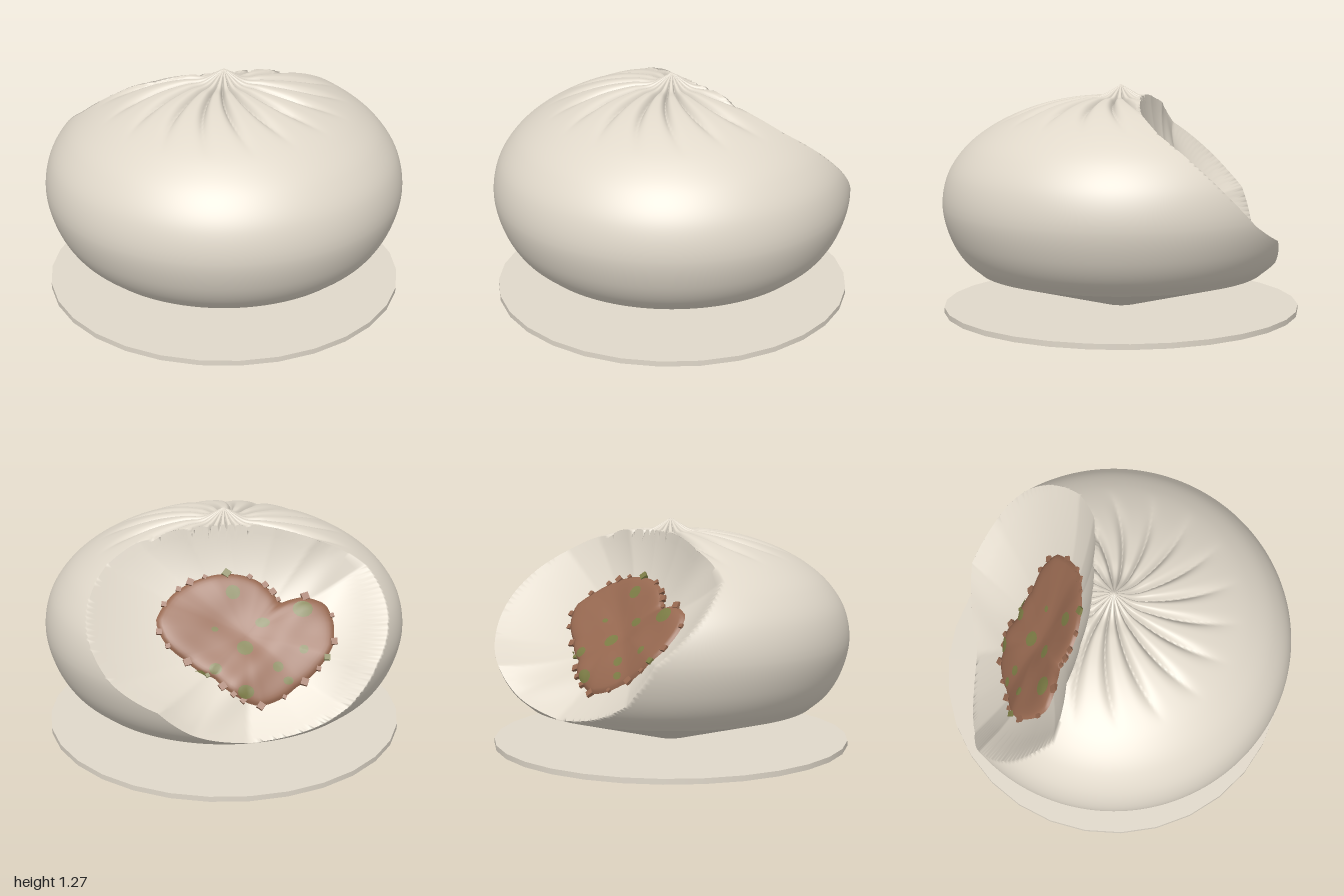
import * as THREE from 'three';
import { mergeVertices } from 'three/addons/utils/BufferGeometryUtils.js';

const V = (x, y, z) => new THREE.Vector3(x, y, z);
const turn = (a) => THREE.MathUtils.euclideanModulo(a, Math.PI * 2);

// Frame of the bitten face: n points out, e1 runs along the filling, e2 down the slope
const n = V(0.436, 0.66, -0.614).normalize();
const e1 = V(0.77, 0.05, 0.63).addScaledVector(n, 0.018).normalize();
const e2 = n.clone().cross(e1);
const mid = V(0.175, 0.67, -0.36);
const core = V(0, 0.4, 0.1);
const local = (p) => {
  const d = p.clone().sub(mid);
  return [d.dot(e1), d.dot(e2), d.dot(n)];
};

// Closed outline of [u, v, height] points, looked up by direction from the middle
function outline(points) {
  const t = points.map(([u, v, h = 0]) => ({ a: turn(Math.atan2(v, u)), r: Math.hypot(u, v), h }))
    .sort((p, q) => p.a - q.a);
  return (u, v) => {
    const a = turn(Math.atan2(v, u));
    const k = Math.max(0, t.findIndex((p) => p.a > a));
    const p = t[(k + t.length - 1) % t.length], q = t[k];
    const f = turn(a - p.a) / turn(q.a - p.a);
    return { r: THREE.MathUtils.lerp(p.r, q.r, f), h: THREE.MathUtils.lerp(p.h, q.h, f) };
  };
}

// Rim of the bite on the bun
const rim = outline([
  [0.67, 1.05, 0.2], [0.47, 1.13, 0.17], [0.25, 1.185, 0.03], [0.06, 1.2, -0.1], [-0.12, 1.19, -0.28],
  [-0.25, 1.13, -0.45], [-0.43, 0.99, -0.65], [-0.4, 0.88, -0.8], [-0.17, 0.6, -0.985], [0, 0.38, -0.93],
  [0.2, 0.28, -0.84], [0.45, 0.24, -0.66], [0.73, 0.33, -0.53], [0.88, 0.47, -0.43], [0.97, 0.58, -0.2],
  [0.97, 0.77, 0], [0.86, 0.93, 0.13],
].map((p) => local(V(...p))));

// Edge of the filling
const edge = outline([
  [-0.48, -0.08], [-0.44, -0.18], [-0.32, -0.22], [-0.19, -0.19], [-0.13, -0.27], [-0.03, -0.33], [0.1, -0.35],
  [0.22, -0.33], [0.41, -0.225], [0.505, -0.06], [0.46, 0.05], [0.34, 0.15], [0.18, 0.25], [0.05, 0.36],
  [-0.07, 0.4], [-0.18, 0.36], [-0.27, 0.29], [-0.4, 0.18], [-0.47, 0.07],
]);

// Height of the hollow over the face: a bowl up to the rim, with a low ridge between two mouthfuls
function hollow(u, v) {
  const { r, h } = rim(u, v);
  const s = Math.hypot(u, v) / r, floor = -0.05;
  const z = mid.z + u * e1.z + v * e2.z;
  const ridge = 0.12 * Math.exp(-(((z + 0.46) / 0.08) ** 2)) * s * Math.max(0, 1 - s);
  return floor + (h - floor) * s * s + ridge;
}
function above(p) {
  const [u, v, h] = local(p);
  return h - hollow(u, v);
}

// Pull a bitten-off point back towards the core until it meets the hollow
function bite(p) {
  if (above(p) <= 0) return p;
  let lo = 0, hi = 1;
  for (let i = 0; i < 22; i++) {
    const t = (lo + hi) / 2;
    if (above(core.clone().lerp(p, t)) > 0) hi = t;
    else lo = t;
  }
  return core.clone().lerp(p, lo);
}

// Slide points close to the rim onto it, so the rim is a clean line
function snapToRim(p, normal) {
  const f = above(p), e = 0.002;
  if (Math.abs(f) > 0.03) return p;
  const g = V(...[V(e, 0, 0), V(0, e, 0), V(0, 0, e)].map((d) => (above(d.add(p)) - f) / e)).projectOnPlane(normal);
  const slide = f / g.length();
  if (Math.abs(slide) < 0.013) p.addScaledVector(g.normalize(), -slide);
  return p;
}

// Gathered, slightly swirling pleats around the tip
function pleat(p) {
  const r = Math.hypot(p.x, p.z);
  if (p.y < 0.9 || r < 0.001) return p;
  const th = Math.atan2(p.x, p.z);
  const fade = THREE.MathUtils.smoothstep(r, 0.0, 0.16) * (1 - THREE.MathUtils.smoothstep(r, 0.3, 0.72));
  const wave = 1 - Math.abs(Math.sin(9 * (th - 0.5 * r)));
  p.y -= 0.045 * fade * wave * wave;
  return p;
}

// Drop the seams of a geometry and shade it smoothly
function smooth(g) {
  g.deleteAttribute('uv');
  g.deleteAttribute('normal');
  const m = mergeVertices(g, 1e-5);
  m.computeVertexNormals();
  return m;
}

function turned(points, segments) {
  const g = new THREE.LatheGeometry(points, segments);
  const { position, normal } = g.attributes;
  for (let i = 0; i < position.count; i++) {
    const p = pleat(V().fromBufferAttribute(position, i));
    const q = bite(snapToRim(p, V().fromBufferAttribute(normal, i)));
    position.setXYZ(i, q.x, q.y, q.z);
  }
  return smooth(g);
}

// Point on the hollow at (u, v), raised by lift
const facePoint = (u, v, lift) =>
  mid.clone().addScaledVector(e1, u).addScaledVector(e2, v).addScaledVector(n, hollow(u, v) + lift);

// Thickness of the filling, domed towards its edge
function fillingLift(u, v) {
  const s = Math.min(1, Math.hypot(u, v) / edge(u, v).r);
  return -0.015 + 0.07 * Math.sqrt(1 - s ** 4) + 0.006 * Math.sin(17 * u + 3 * v) * Math.sin(19 * v) * (1 - s);
}

// Round sheet built ring by ring; place(s, angle) returns a point
function sheet(rings, sides, place) {
  const pos = [], idx = [];
  for (let i = 0; i <= rings; i++)
    for (let j = 0; j < sides; j++) pos.push(...place(i / rings, (j / sides) * Math.PI * 2).toArray());
  for (let i = 0; i < rings; i++)
    for (let j = 0; j < sides; j++) {
      const a = i * sides + j, b = i * sides + ((j + 1) % sides);
      if (i > 0) idx.push(a, a + sides, b);
      idx.push(b, a + sides, b + sides);
    }
  const g = new THREE.BufferGeometry();
  g.setAttribute('position', new THREE.Float32BufferAttribute(pos, 3));
  g.setIndex(idx);
  return smooth(g);
}

export function createModel() {
  const group = new THREE.Group();
  const mat = (name, color) => Object.assign(new THREE.MeshStandardMaterial({ color }), { name });
  const dough = mat('dough', 0xe0d8ca), meat = mat('meat', 0x966850), herb = mat('herb', 0x7c7c45);
  dough.side = meat.side = herb.side = THREE.DoubleSide;
  const add = (name, geometry, material, parent = group) => {
    const m = new THREE.Mesh(geometry, material);
    m.name = name;
    parent.add(m);
    return m;
  };

  // Thin disc under the bun
  add('paperDisc', new THREE.CylinderGeometry(1, 1, 0.03, 30), dough).position.y = 0.015;

  // Bun dome with pleats, tip and bite
  const profile = [
    [0.8, 0.23], [0.89, 0.31], [0.96, 0.43], [1, 0.6], [0.97, 0.77], [0.88, 0.91], [0.75, 1.02],
    [0.58, 1.11], [0.4, 1.17], [0.22, 1.2], [0.12, 1.205], [0.05, 1.24], [0, 1.27],
  ].map(([x, y]) => V(x, y, 0));
  const dome = new THREE.CatmullRomCurve3(profile).getSpacedPoints(130)
    .map((p) => new THREE.Vector2(Math.max(0, Math.min(1, p.x)), p.y));
  add('bun', turned(dome, 300), dough);

  // Tapered underside
  const under = [new THREE.Vector2(0, 0.031)];
  for (let i = 0; i <= 24; i++)
    under.push(new THREE.Vector2(0.1 + (0.7 * i) / 24, 0.031 + (0.199 * i) / 24));
  add('bunUnderside', turned(under, 300), dough);

  // Filling lying in the hollow
  const onEdge = (s, a) => {
    const r = s * edge(Math.cos(a), Math.sin(a)).r;
    return [r * Math.cos(a), r * Math.sin(a)];
  };
  add('filling', sheet(24, 90, (s, a) => {
    const [u, v] = onEdge(s, a);
    return facePoint(u, v, fillingLift(u, v));
  }), meat);

  // Herb flecks, each given as x, z and radius
  const flecks = new THREE.Group();
  flecks.name = 'herbFlecks';
  group.add(flecks);
  [
    [-0.12, -0.48, 0.055], [0.13, -0.55, 0.03], [0.08, -0.38, 0.04], [0.22, -0.39, 0.045],
    [0.4, -0.35, 0.035], [0.49, -0.31, 0.045], [0.13, -0.2, 0.04], [0.12, -0.62, 0.028],
    [0.33, -0.51, 0.045], [-0.02, -0.59, 0.025], [0.3, -0.24, 0.02],
  ].forEach(([x, z, r], k) => {
    const [u0, v0] = local(V(x, 1.12 - 0.66 * x + 0.93 * z, z));
    const stretch = 0.85 + 0.15 * Math.sin(k * 2.3);
    add('herbFleck', sheet(5, 12, (s, a) => {
      const u = u0 + s * r * Math.cos(a), v = v0 + s * r * stretch * Math.sin(a);
      return facePoint(u, v, fillingLift(u, v) + 0.008);
    }), herb, flecks);
  });

  // Small crumbs half sunk into the edge of the filling
  const crumbs = new THREE.Group();
  crumbs.name = 'crumbs';
  group.add(crumbs);
  const crumb = new THREE.BoxGeometry(0.036, 0.036, 0.024);
  for (let i = 0; i < 24; i++) {
    const [u, v] = onEdge(0.98, (i + 0.35 * Math.sin(i * 5.1)) * (Math.PI / 12));
    const m = add('crumb', crumb, i % 8 === 3 ? herb : meat, crumbs);
    m.position.copy(facePoint(u, v, 0.008));
    m.lookAt(m.position.clone().add(n));
    m.rotateZ(i * 1.7);
    m.scale.setScalar(0.85 + 0.25 * Math.sin(i * 3.7));
  }
  return group;
}
